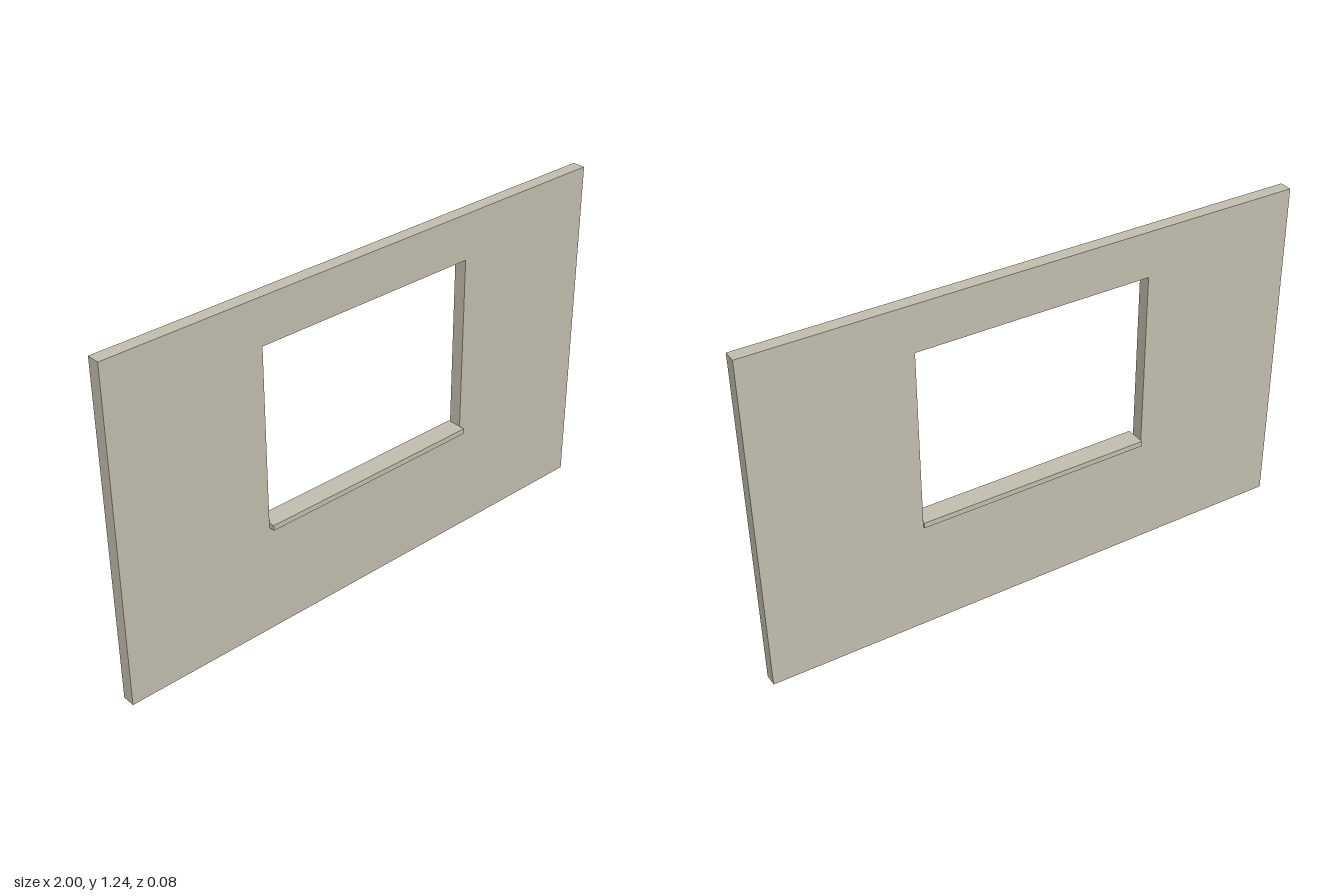
import * as THREE from 'three';

const WIDTH = 2, HEIGHT = 1.24;
const WALL_BACK = -0.031, WALL_FRONT = 0.016;
const OPENING = { halfWidth: 0.43, bottom: 0.407, top: 1.073 };
const SILL = { height: 0.02, depth: 0.075 };

// Rectangle outline, counter-clockwise
function rectangle(PathType, x0, y0, x1, y1) {
  return new PathType([[x0, y0], [x1, y0], [x1, y1], [x0, y1]].map(([x, y]) => new THREE.Vector2(x, y)));
}

export function createModel() {
  const group = new THREE.Group();
  group.name = 'windowWall';
  const material = new THREE.MeshStandardMaterial({ color: 0xc4bfb0 });

  // Wall panel with a window opening
  const outline = rectangle(THREE.Shape, -WIDTH / 2, 0, WIDTH / 2, HEIGHT);
  outline.holes.push(rectangle(THREE.Path, -OPENING.halfWidth, OPENING.bottom, OPENING.halfWidth, OPENING.top));
  const wallGeometry = new THREE.ExtrudeGeometry(outline, { depth: WALL_FRONT - WALL_BACK, bevelEnabled: false });
  const wall = new THREE.Mesh(wallGeometry, material);
  wall.name = 'wall';
  wall.position.z = WALL_BACK;
  group.add(wall);

  // Sill lying on the bottom of the opening, projecting at the front
  const sill = new THREE.Mesh(new THREE.BoxGeometry(OPENING.halfWidth * 2, SILL.height, SILL.depth), material);
  sill.name = 'windowSill';
  sill.position.y = OPENING.bottom + SILL.height / 2;
  group.add(sill);

  return group;
}
